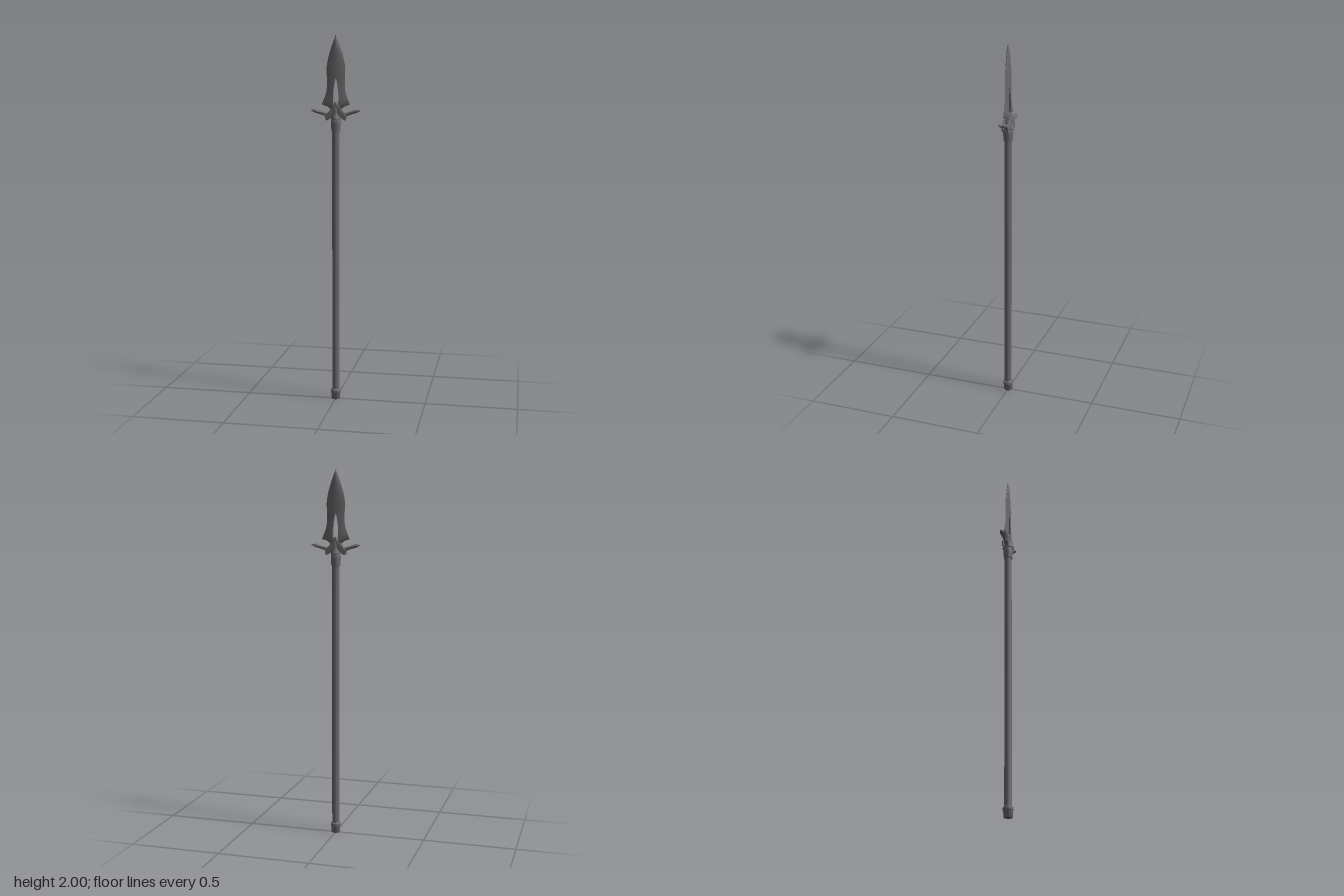
import * as THREE from 'three';
import { toCreasedNormals } from 'three/addons/utils/BufferGeometryUtils.js';

const metal = new THREE.MeshStandardMaterial({ color: 0x6a6a6a });

function add(parent, name, geometry) {
  const mesh = new THREE.Mesh(geometry, metal);
  mesh.name = name;
  parent.add(mesh);
  return mesh;
}

// Turned part from [radius, y] pairs, bottom to top
function turned(profile, sides = 20) {
  const points = profile.map(([r, y]) => new THREE.Vector2(r, y));
  return toCreasedNormals(new THREE.LatheGeometry(points, sides), 0.6);
}

// Closed skin over rings of equal point count, with end caps
function loft(rings, crease) {
  const n = rings[0].length, pos = rings.flat(2), index = [];
  for (let i = 0; i < rings.length - 1; i++) {
    for (let j = 0; j < n; j++) {
      const a = i * n + j, b = i * n + (j + 1) % n;
      index.push(a, b, a + n, b, b + n, a + n);
    }
  }
  const last = (rings.length - 1) * n;
  for (let j = 1; j < n - 1; j++) {
    index.push(0, j + 1, j, last, last + j, last + j + 1);
  }
  const g = new THREE.BufferGeometry();
  g.setAttribute('position', new THREE.Float32BufferAttribute(pos, 3));
  g.setIndex(index);
  return toCreasedNormals(g, crease);
}

// One half of the blade: rows of [y, inner edge, outer edge, thickness]
function bladeHalf() {
  const rows = [
    [1.56, 0, 0.02, 0.010], [1.595, 0, 0.028, 0.010], [1.61, 0.008, 0.032, 0.010],
    [1.622, 0.012, 0.045, 0.010], [1.633, 0.014, 0.077, 0.010], [1.66, 0.015, 0.066, 0.009],
    [1.69, 0.015, 0.054, 0.009], [1.72, 0.012, 0.049, 0.008], [1.75, 0.007, 0.048, 0.008],
    [1.775, 0, 0.049, 0.008], [1.82, 0, 0.051, 0.008], [1.85, 0, 0.048, 0.008],
    [1.89, 0, 0.039, 0.008], [1.93, 0, 0.027, 0.008], [1.97, 0, 0.012, 0.006],
    [2.0, 0, 0.0005, 0.0005],
  ];
  const steps = 5;
  return loft(rows.map(([y, inner, outer, t]) => {
    const front = [], back = [];
    for (let k = 0; k <= steps; k++) {
      const x = inner + (outer - inner) * k / steps;
      const z = t * (1 - (x / outer) ** 2) + 0.0006;
      front.push([x, y, z]);
      back.unshift([x, y, -z]);
    }
    return [...front, ...back];
  }), 1.0);
}

// Guard arm with a leaf-shaped end: [x, y, half height, half depth]
function guardArm() {
  const stations = [
    [0, 1.572, 0.012, 0.014], [0.03, 1.575, 0.011, 0.012], [0.055, 1.580, 0.010, 0.009],
    [0.08, 1.588, 0.009, 0.009], [0.108, 1.597, 0.010, 0.014], [0.117, 1.599, 0.009, 0.013],
    [0.138, 1.603, 0.0005, 0.0005],
  ];
  return loft(stations.map(([x, y, h, d]) => {
    const ring = [];
    for (let k = 0; k < 8; k++) {
      const a = k * Math.PI / 4;
      ring.push([x, y + h * Math.cos(a), d * Math.sin(a)]);
    }
    return ring;
  }), 0.9);
}

// Chevron plate with swept lower points
function chevron() {
  const s = new THREE.Shape();
  s.moveTo(0, 1.645);
  s.quadraticCurveTo(0.02, 1.605, 0.056, 1.575);
  s.lineTo(0.052, 1.549);
  s.quadraticCurveTo(0.03, 1.558, 0.016, 1.578);
  s.lineTo(0, 1.592);
  s.lineTo(-0.016, 1.578);
  s.quadraticCurveTo(-0.03, 1.558, -0.052, 1.549);
  s.lineTo(-0.056, 1.575);
  s.quadraticCurveTo(-0.02, 1.605, 0, 1.645);
  return new THREE.ExtrudeGeometry(s, {
    depth: 0.005, curveSegments: 8, bevelSize: 0.001, bevelThickness: 0.0015, bevelSegments: 1,
  });
}

export function createModel() {
  const spear = new THREE.Group();
  spear.name = 'spear';

  add(spear, 'shaft', new THREE.CylinderGeometry(0.02, 0.02, 1.5, 20).translate(0, 0.77, 0));
  add(spear, 'buttCap', turned([
    [0, 0], [0.022, 0], [0.024, 0.004], [0.025, 0.035], [0.028, 0.04], [0.027, 0.053], [0.02, 0.058],
  ]));
  add(spear, 'collar', turned([
    [0.019, 1.488], [0.024, 1.49], [0.025, 1.505], [0.027, 1.53], [0.027, 1.546],
    [0.024, 1.555], [0.022, 1.575], [0, 1.58],
  ]));

  // Raised shield hugging the blade root
  const shield = turned([
    [0, 1.553], [0.031, 1.553], [0.033, 1.558], [0.027, 1.575], [0.023, 1.59],
    [0.023, 1.605], [0.017, 1.63], [0.011, 1.643], [0, 1.647],
  ]).scale(0.77, 1, 1);
  add(spear, 'guardShield', shield);

  // Each side is a half turn of the other
  for (const [side, turn] of [['left', 0], ['right', Math.PI]]) {
    add(spear, side + 'BladeHalf', bladeHalf()).rotation.y = turn;
    add(spear, side + 'GuardArm', guardArm()).rotation.y = turn;
  }
  for (const [side, turn] of [['front', 0], ['back', Math.PI]]) {
    add(spear, side + 'Chevron', chevron().translate(0, 0, 0.012)).rotation.y = turn;
  }
  return spear;
}
